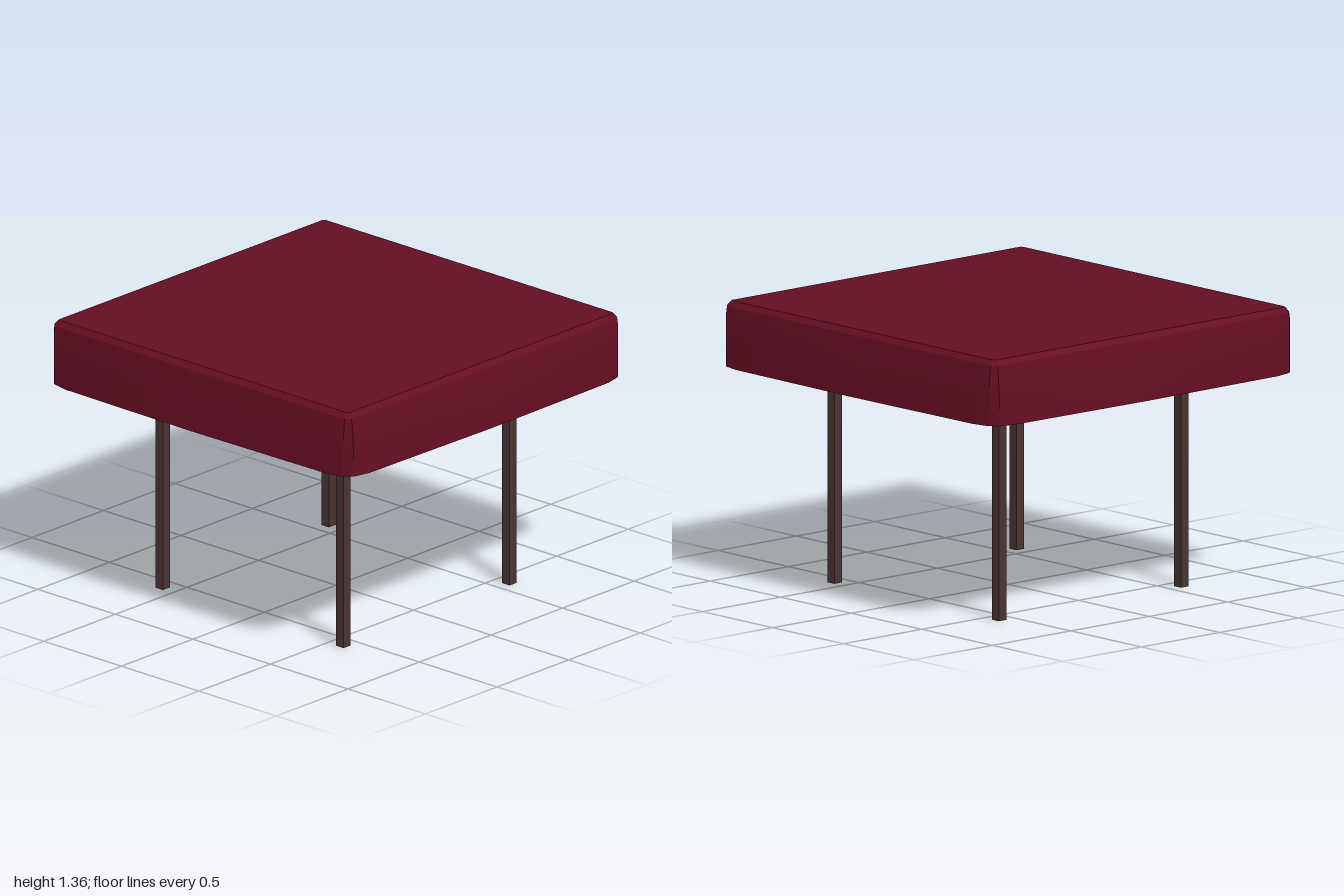
import * as THREE from 'three';
import { toCreasedNormals } from 'three/addons/utils/BufferGeometryUtils.js';

const clothRed = new THREE.MeshStandardMaterial({ color: 0x650e22, side: THREE.DoubleSide });
clothRed.name = 'cloth red';
const darkWood = new THREE.MeshStandardMaterial({ color: 0x483431 });
darkWood.name = 'dark wood';

// Rings of the cloth from hem to top: height, middle bulge, shoulder [along, out], corner [along, out]
const rings = [
  { y: 1.045, mid: 1.0, shoulder: [0.84, 0.988], corner: [0.93, 0.968] },
  { y: 1.2, mid: 0.985, shoulder: [0.87, 0.978], corner: [0.932, 0.966] },
  { y: 1.3, mid: 0.968, shoulder: [0.89, 0.967], corner: [0.935, 0.963] },
  { y: 1.335, mid: 0.96, shoulder: [0.89, 0.96], corner: [0.935, 0.957] },
  { y: 1.36, mid: 0.936, shoulder: [0.89, 0.936], corner: [0.926, 0.936] },
];

// One closed ring: the same side outline turned four times
function ringPoints({ y, mid, shoulder: [a, q], corner: [b, p] }) {
  const side = [[-b, p], [-a, q], [0, mid], [a, q], [b, p]];
  const points = [];
  for (let turn = 0; turn < 4; turn++) {
    for (let [x, z] of side) {
      for (let k = 0; k < turn; k++) [x, z] = [z, -x];
      points.push([x * 0.993, y, z]);
    }
  }
  return points;
}

function clothGeometry() {
  const loops = rings.map(ringPoints);
  const n = loops[0].length;
  const positions = loops.flat(2);
  const index = [];
  for (let r = 0; r < loops.length - 1; r++) {
    for (let i = 0; i < n; i++) {
      const j = (i + 1) % n;
      const a = r * n + i, b = r * n + j;
      index.push(a, b, b + n, a, b + n, a + n);
    }
  }
  // Flat top
  const centre = positions.length / 3;
  positions.push(0, rings[rings.length - 1].y, 0);
  for (let i = 0; i < n; i++) {
    index.push(centre, centre - n + i, centre - n + (i + 1) % n);
  }
  const geometry = new THREE.BufferGeometry();
  geometry.setAttribute('position', new THREE.Float32BufferAttribute(positions, 3));
  geometry.setIndex(index);
  return toCreasedNormals(geometry, 0.4);
}

function addMesh(parent, name, geometry, material, x = 0, y = 0, z = 0) {
  const mesh = new THREE.Mesh(geometry, material);
  mesh.name = name;
  mesh.position.set(x, y, z);
  parent.add(mesh);
  return mesh;
}

export function createModel() {
  const table = new THREE.Group();
  table.name = 'table';

  // Draped cloth, open below
  addMesh(table, 'tablecloth', clothGeometry(), clothRed);

  // Board under the cloth
  addMesh(table, 'tableTop', new THREE.BoxGeometry(1.83, 0.07, 1.83), darkWood, 0, 1.305, 0);

  // Four thin square legs
  const legGeometry = new THREE.BoxGeometry(0.048, 1.27, 0.048);
  for (const [xName, x] of [['Left', 0.58], ['Right', -0.58]]) {
    for (const [zName, z] of [['front', 0.583], ['back', -0.583]]) {
      addMesh(table, zName + xName + 'Leg', legGeometry, darkWood, x, 0.635, z);
    }
  }
  return table;
}
